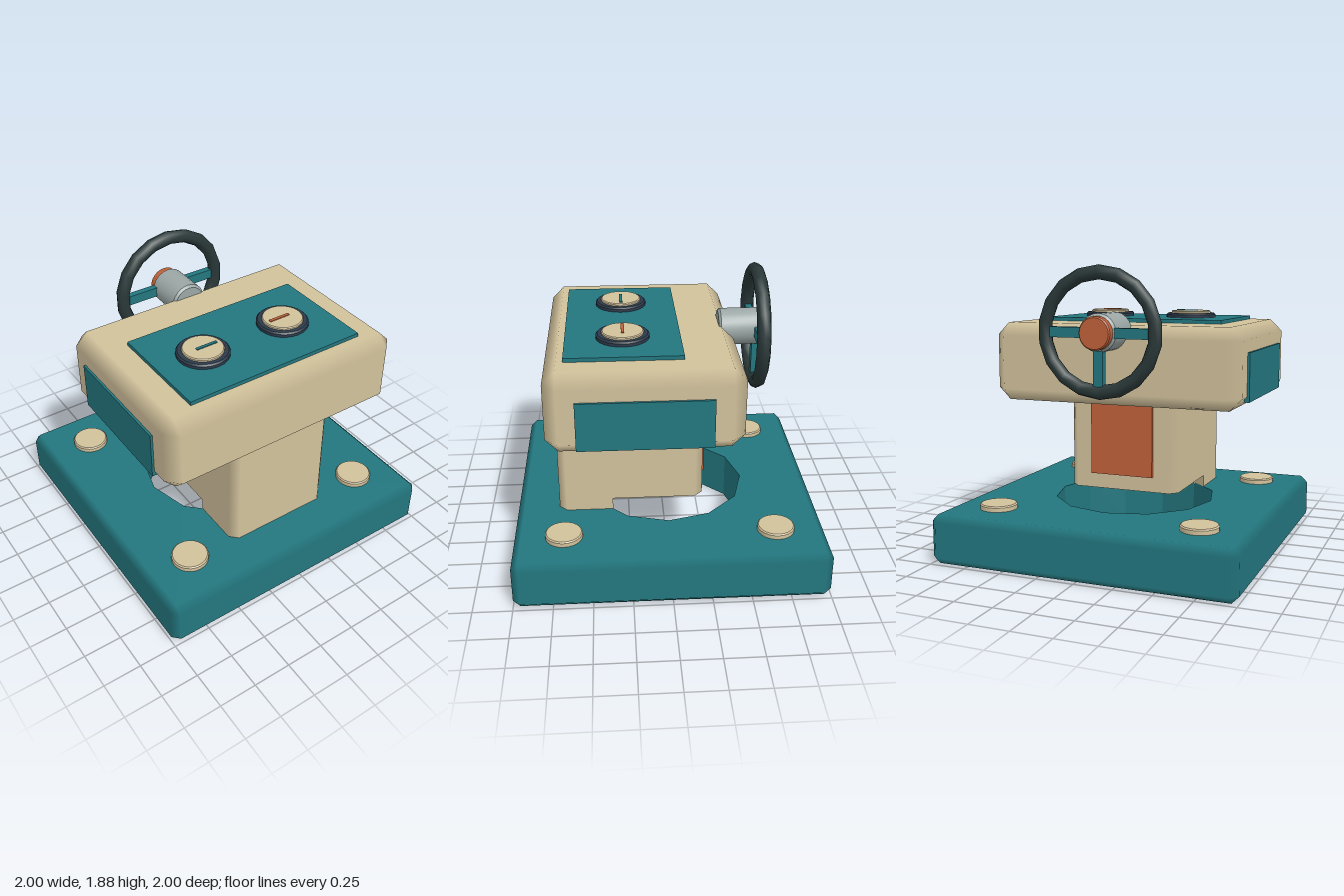
import * as THREE from 'three';
import { toCreasedNormals } from 'three/addons/utils/BufferGeometryUtils.js';
import { ConvexGeometry } from 'three/addons/geometries/ConvexGeometry.js';

const mat = (color) => new THREE.MeshStandardMaterial({ color });
const TEAL = mat(0x23777f), SAND = mat(0xd2c29c), DARK = mat(0x2a3838);
const NAVY = mat(0x2b3a4a), STEEL = mat(0x9ca8a6), ORANGE = mat(0xc0623a);
const HOLE_R = 0.54;

// Box with chamfered edges whose shading stays flat on the big faces;
// open = true leaves out the top and bottom faces.
function chamferBox(w, h, d, c, open = false) {
  const half = [w / 2, h / 2, d / 2];
  const pts = [];
  for (let axis = 0; axis < 3; axis++)
    for (const sx of [-1, 1]) for (const sy of [-1, 1]) for (const sz of [-1, 1])
      pts.push(new THREE.Vector3(...[sx, sy, sz].map((s, i) => s * (half[i] - (i === axis ? 0 : c)))));
  const src = new ConvexGeometry(pts).getAttribute('position');
  const pos = [], nor = [];
  for (let t = 0; t < src.count; t += 3) {
    const p = [], n = [];
    for (let k = t; k < t + 3; k++) {
      const v = [src.getX(k), src.getY(k), src.getZ(k)];
      p.push(...v);
      n.push(...v.map((a, i) => (Math.abs(a) > half[i] - 1e-4 ? Math.sign(a) : 0)));
    }
    if (open && n[1] !== 0 && n[1] === n[4] && n[1] === n[7]) continue;
    pos.push(...p);
    nor.push(...n);
  }
  const g = new THREE.BufferGeometry();
  g.setAttribute('position', new THREE.Float32BufferAttribute(pos, 3));
  g.setAttribute('normal', new THREE.Float32BufferAttribute(nor, 3));
  return g;
}

// Upright prism from an outline in x and z, its top at y = 0
function prism(shape, height) {
  return new THREE.ExtrudeGeometry(shape, { depth: height, bevelEnabled: false }).rotateX(Math.PI / 2);
}

// Round disc standing on y = 0 with a chamfered upper rim
function disc(r, h, c, sides = 24) {
  const profile = [[0, 0], [r, 0], [r, h - c], [r - c, h], [0, h]].map((p) => new THREE.Vector2(...p));
  return toCreasedNormals(new THREE.LatheGeometry(profile, sides), 0.6);
}

// Twelve-sided opening, as points from one angle to another in steps of 30 degrees
function holePoints(from, to) {
  const pts = [];
  for (let a = from; a <= to; a += 30) {
    const t = THREE.MathUtils.degToRad(a);
    pts.push(new THREE.Vector2(HOLE_R * Math.cos(t), HOLE_R * Math.sin(t)));
  }
  return pts;
}

export function createModel() {
  const model = new THREE.Group();
  const add = (name, geo, material, x = 0, y = 0, z = 0, parent = model) => {
    const m = new THREE.Mesh(geo, material);
    m.name = name;
    m.position.set(x, y, z);
    parent.add(m);
    return m;
  };
  // Plain box given by its limits
  const slab = (name, material, [x0, x1], [y0, y1], [z0, z1], parent = model) =>
    add(name, new THREE.BoxGeometry(x1 - x0, y1 - y0, z1 - z0), material,
      (x0 + x1) / 2, (y0 + y1) / 2, (z0 + z1) / 2, parent);

  // Base plate with a central opening
  const base = new THREE.Group();
  base.name = 'base';
  model.add(base);
  add('baseRim', chamferBox(2, 0.32, 2, 0.045, true), TEAL, 0, 0.16, 0, base);
  const e = 0.955;
  const plate = new THREE.Shape([[-e, -e], [e, -e], [e, e], [-e, e]].map((p) => new THREE.Vector2(...p)));
  plate.holes.push(new THREE.Path(holePoints(0, 330)));
  add('basePlate', prism(plate, 0.32), TEAL, 0, 0.32, 0, base);

  // Bolts in the corners
  for (const x of [-0.68, 0.68])
    for (const z of [-0.68, 0.68]) add('bolt', disc(0.12, 0.045, 0.008), SAND, x, 0.31, z);

  // Column: full section above, a foot cut away around the opening below
  const hx = 0.375, back = -0.235, front = 0.72, c = 0.05, mid = (back + front) / 2;
  const V = (x, z) => new THREE.Vector2(x, z);
  const nose = [V(hx, front - c), V(hx - c, front), V(c - hx, front), V(-hx, front - c)];
  const section = new THREE.Shape([V(c - hx, back), V(hx - c, back), V(hx, back + c), ...nose, V(-hx, back + c)]);
  const zCut = HOLE_R * (Math.cos(Math.PI / 6) + 0.5) - hx;
  const foot = new THREE.Shape([V(hx, zCut), ...nose, V(-hx, zCut), ...holePoints(60, 120).reverse()]);
  // Outer walls keep the normals of the big faces, so the chamfers shade softly
  const soften = (g) => {
    const p = g.getAttribute('position'), n = g.getAttribute('normal');
    for (let i = 0; i < p.count; i++) {
      const x = p.getX(i), z = p.getZ(i) - mid;
      if (Math.abs(n.getY(i)) > 0.5 || x * n.getX(i) + z * n.getZ(i) <= 0) continue;
      if (Math.abs(x) > hx - 1e-4) n.setXYZ(i, Math.sign(x), 0, 0);
      else n.setXYZ(i, 0, 0, Math.sign(z));
    }
    return g;
  };
  add('column', soften(prism(section, 0.7)), SAND, 0, 1.1, 0);
  add('columnFoot', soften(prism(foot, 0.09)), SAND, 0, 0.4, 0);
  slab('columnBackPanel', ORANGE, [-0.215, 0.215], [0.5, 1.0], [-0.255, -0.22]);

  // Head with top and side panels
  add('head', chamferBox(1.68, 0.515, 1.2, 0.08), SAND, 0, 1.2425, 0.157);
  slab('topPanel', TEAL, [-0.62, 0.62], [1.48, 1.525], [-0.085, 0.635]);
  for (const s of [-1, 1])
    slab('sidePanel', TEAL, s < 0 ? [-0.855, -0.82] : [0.82, 0.855], [1.03, 1.34], [-0.25, 0.57]);

  // Dials with a pointer slot each
  for (const s of [-1, 1]) {
    const dial = new THREE.Group();
    dial.name = 'dial';
    dial.position.set(s * 0.3, 1.52, 0.275);
    model.add(dial);
    add('dialRing', disc(0.168, 0.034, 0.01), NAVY, 0, 0, 0, dial);
    add('dialFace', disc(0.132, 0.05, 0.006), SAND, 0, 0, 0, dial);
    add('dialPointer', new THREE.BoxGeometry(0.148, 0.02, 0.02), s < 0 ? TEAL : ORANGE, -s * 0.026, 0.046, 0, dial);
  }

  // Handwheel at the back, turned so its discs grow towards -z
  const wheel = new THREE.Group();
  wheel.name = 'handwheel';
  wheel.position.set(0, 1.462, -0.6);
  model.add(wheel);
  const rim = add('wheelRim', new THREE.TorusGeometry(0.368, 0.045, 8, 18), DARK, 0, 0, 0, wheel);
  rim.rotation.z = Math.PI / 2;
  const shaftProfile = [[0, 0], [0.105, 0], [0.12, 0.015], [0.12, 0.265], [0.105, 0.28], [0, 0.28]];
  const shaft = new THREE.LatheGeometry(shaftProfile.map((p) => V(...p)), 24);
  add('wheelShaft', toCreasedNormals(shaft, 0.6), STEEL, 0, 0, 0.25, wheel).rotation.x = -Math.PI / 2;
  add('wheelCap', disc(0.104, 0.06, 0.008), ORANGE, 0, 0, -0.02, wheel).rotation.x = -Math.PI / 2;
  for (const a of [0, Math.PI, -Math.PI / 2]) {
    const spoke = add('wheelSpoke', new THREE.BoxGeometry(0.3, 0.065, 0.045), TEAL,
      0.22 * Math.cos(a), 0.22 * Math.sin(a), 0, wheel);
    spoke.rotation.z = a;
  }
  return model;
}
